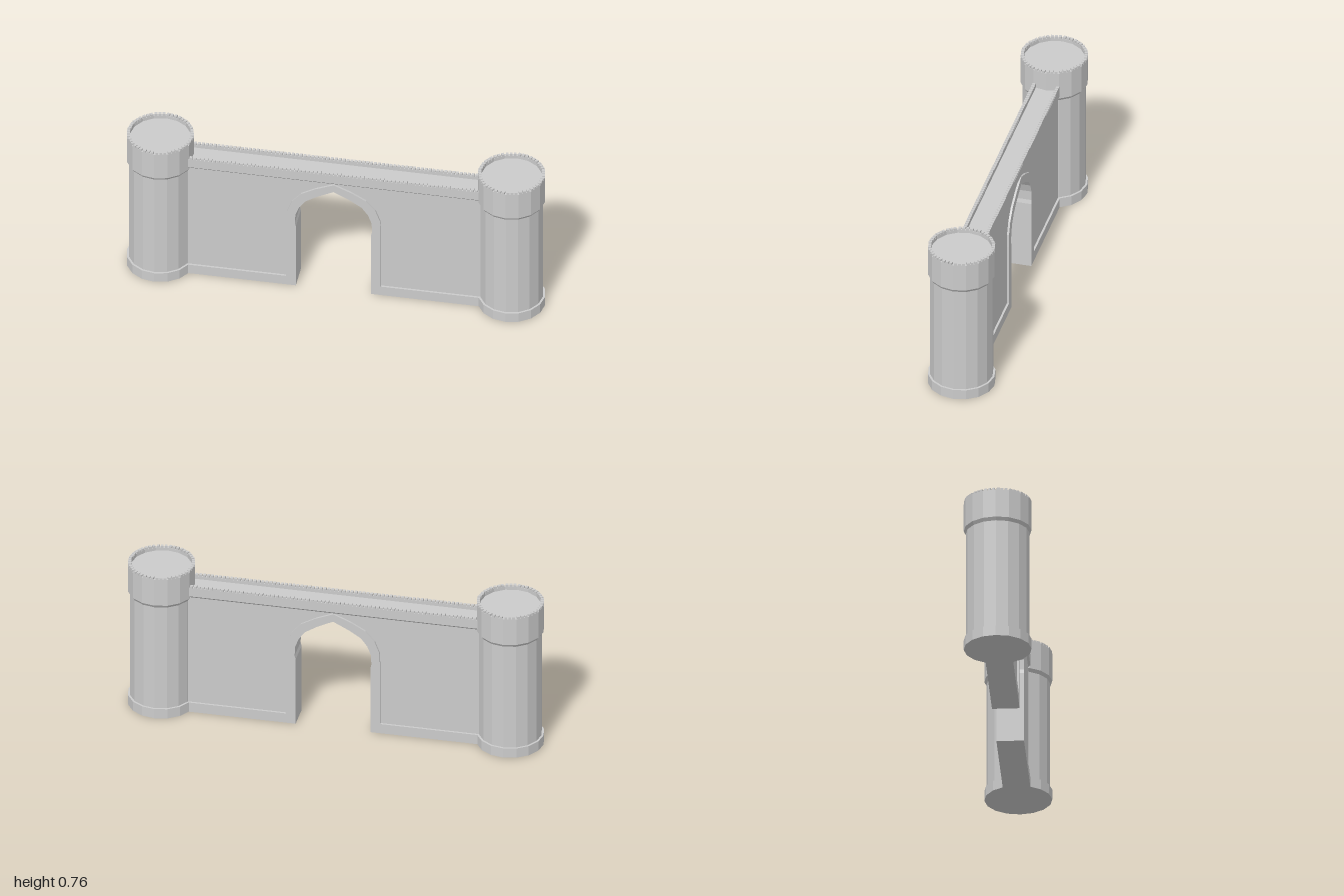
import * as THREE from 'three';

const material = new THREE.MeshStandardMaterial({ color: 0xcccccc, flatShading: true });
const SIDES = 16, TOWER_X = 0.84, WALL_X = 0.72;

// Half outlines of the pointed gate, from the ground up to the apex
const archInner = [[0.18, 0], [0.18, 0.35], [0.185, 0.37], [0.182, 0.42], [0.165, 0.465], [0.135, 0.505], [0.08, 0.54], [0, 0.58]];
const archOuter = [[0.226, 0.05], [0.226, 0.37], [0.223, 0.435], [0.2, 0.495], [0.155, 0.546], [0.085, 0.585], [0, 0.62]];

// Full arch running from the -x foot over the apex to the +x foot
function fullArch(half) {
  const right = half.slice(0, -1).reverse();
  return [...half.map(([x, y]) => [-x, y]), ...right];
}

function extrude(points, depth) {
  const shape = new THREE.Shape(points.map(([x, y]) => new THREE.Vector2(x, y)));
  const geometry = new THREE.ExtrudeGeometry(shape, { depth, bevelEnabled: false });
  return geometry.translate(0, 0, -depth / 2);
}

function addMesh(parent, name, geometry) {
  const mesh = new THREE.Mesh(geometry, material);
  mesh.name = name;
  parent.add(mesh);
  return mesh;
}

function createTower() {
  const tower = new THREE.Group();
  // Base ring, shaft, flared head and sunken roof floor
  const profile = [[0, 0], [0.16, 0], [0.16, 0.05], [0.15, 0.05], [0.15, 0.6], [0.16, 0.615],
    [0.16, 0.755], [0.145, 0.755], [0.145, 0.74], [0, 0.74]].map(([r, y]) => new THREE.Vector2(r, y));
  addMesh(tower, 'towerBody', new THREE.LatheGeometry(profile, SIDES));

  // Three merlons on each facet of the rim
  const merlons = new THREE.Group();
  merlons.name = 'towerMerlons';
  const tooth = new THREE.BoxGeometry(0.0135, 0.01, 0.0147);
  const apothem = 0.1525 * Math.cos(Math.PI / SIDES);
  for (let i = 0; i < SIDES; i++) {
    const facet = new THREE.Group();
    facet.name = 'merlonFacet';
    facet.rotation.y = (i + 0.5) * Math.PI * 2 / SIDES;
    for (const k of [-1, 0, 1]) {
      addMesh(facet, 'merlon', tooth).position.set(k * 0.0187, 0.76, apothem);
    }
    merlons.add(facet);
  }
  tower.add(merlons);
  return tower;
}

function createWall() {
  const wall = new THREE.Group();
  wall.name = 'gateWall';

  // Recessed wall panel around the gate
  addMesh(wall, 'wallPanel', extrude([
    [-WALL_X, 0.05], ...fullArch(archOuter), [WALL_X, 0.05], [WALL_X, 0.64], [-WALL_X, 0.64],
  ], 0.11));

  // Raised plinth and arch surround in one band
  addMesh(wall, 'plinthAndArchSurround', extrude([
    [-WALL_X, 0], ...fullArch(archInner), [WALL_X, 0],
    [WALL_X, 0.05], ...fullArch(archOuter).reverse(), [-WALL_X, 0.05],
  ], 0.13));

  // Flared parapet with the sunken walkway
  const parapet = extrude([
    [-0.055, 0.62], [0.055, 0.62], [0.065, 0.63], [0.065, 0.675], [0.05, 0.675], [0.05, 0.66],
    [-0.05, 0.66], [-0.05, 0.675], [-0.065, 0.675], [-0.065, 0.63],
  ], WALL_X * 2);
  addMesh(wall, 'parapetWalkway', parapet.rotateY(Math.PI / 2));

  // Rows of merlons on both parapets
  const count = 74, pitch = 0.0187;
  const tooth = new THREE.BoxGeometry(0.0135, 0.01, 0.015);
  for (const side of [-1, 1]) {
    const row = new THREE.Group();
    row.name = side > 0 ? 'frontMerlons' : 'backMerlons';
    for (let i = 0; i < count; i++) {
      addMesh(row, 'merlon', tooth).position.set((i - (count - 1) / 2) * pitch, 0.68, side * 0.0575);
    }
    wall.add(row);
  }
  return wall;
}

export function createModel() {
  const model = new THREE.Group();
  model.name = 'castleGate';
  model.add(createWall());
  for (const side of [-1, 1]) {
    const tower = createTower();
    tower.name = side > 0 ? 'leftTower' : 'rightTower';
    tower.position.x = side * TOWER_X;
    model.add(tower);
  }
  return model;
}
